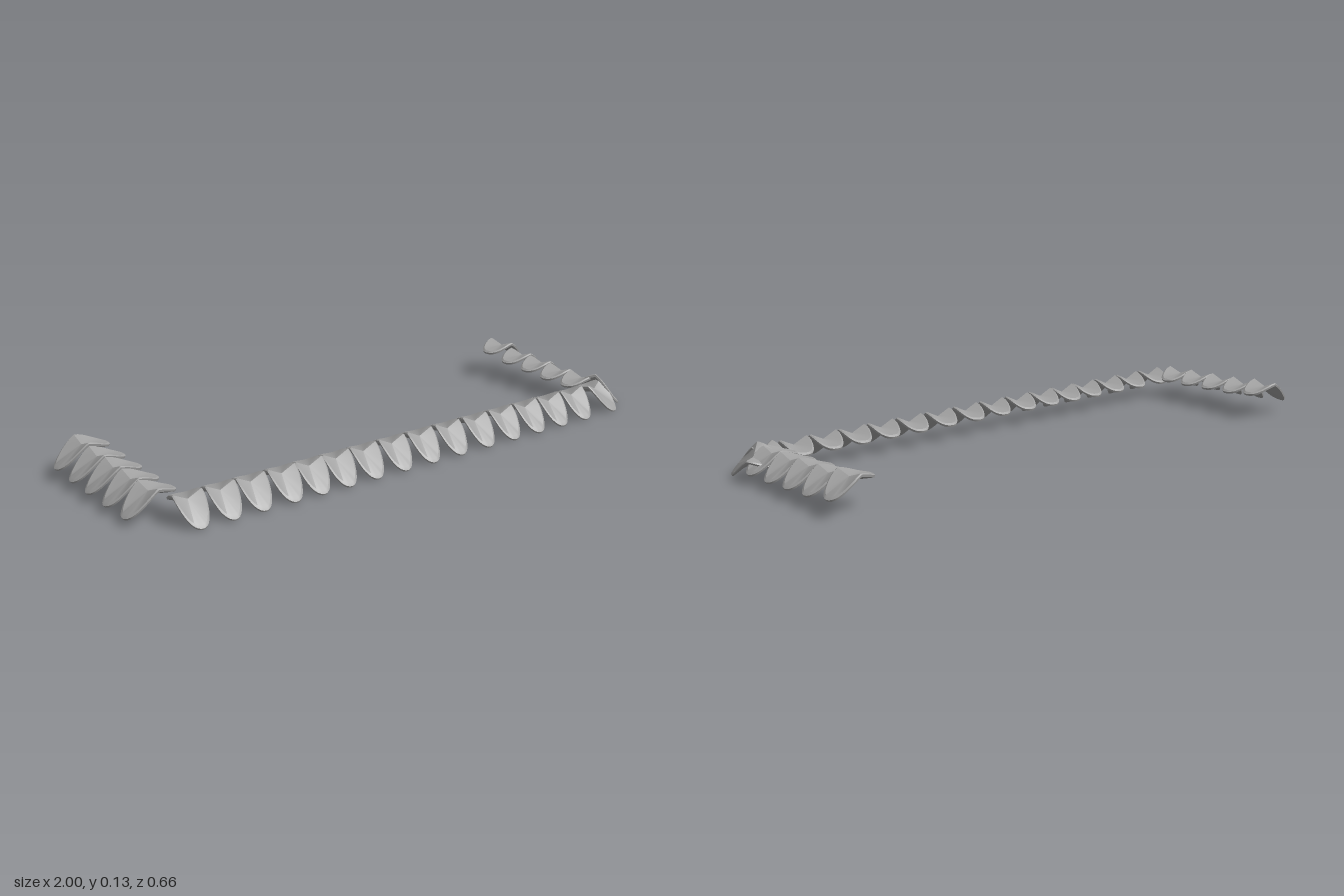
import * as THREE from 'three';
import { toCreasedNormals } from 'three/addons/utils/BufferGeometryUtils.js';

const material = new THREE.MeshStandardMaterial({ color: 0xa0a0a0 });

// One folded oval scale: a long slope drops to the front (+z), a shallow one to the back,
// and the sides of the ridge curl up. Its centre is the origin.
function scaleGeometry(halfLength, sideRise, frontDrop, backDrop) {
  const n = 40, halfWidth = 0.053;
  // rings as [radius, depth below the top surface]
  const rings = [[0, 0], [0.92, 0], [1, 0.005], [0.97, 0.012], [0, 0.012]];
  const positions = [], index = [];
  for (const [r, depth] of rings) {
    for (let k = 0; k < n; k++) {
      const a = (k / n) * Math.PI * 2, c = Math.cos(a), s = Math.sin(a);
      const fold = sideRise * c ** 4 - (s > 0 ? frontDrop : backDrop) * Math.abs(s);
      positions.push(c * r * halfWidth, r * fold - depth, s * r * halfLength);
    }
  }
  for (let j = 0; j < rings.length - 1; j++) {
    for (let k = 0; k < n; k++) {
      const k1 = (k + 1) % n;
      const a = j * n + k, b = j * n + k1, c = a + n, d = b + n;
      if (rings[j + 1][0] > 0) index.push(a, d, c);
      if (rings[j][0] > 0) index.push(a, b, d);
    }
  }
  const geometry = new THREE.BufferGeometry();
  geometry.setAttribute('position', new THREE.Float32BufferAttribute(positions, 3));
  geometry.setIndex(index);
  return toCreasedNormals(geometry, 0.45);
}

export function createModel() {
  const model = new THREE.Group();
  const frontScale = scaleGeometry(0.086, 0.025, 0.062, 0.01);
  const rightScale = scaleGeometry(0.098, 0.021, 0.057, 0.009);
  const leftScale = scaleGeometry(0.091, 0.019, 0.046, 0.006);

  // yaw turns the front tip from +z towards +x, roll tips the scale sideways
  function addScale(parent, name, geometry, x, y, z, yaw = 0, roll = 0) {
    const mesh = new THREE.Mesh(geometry, material);
    mesh.name = name;
    mesh.position.set(x, y, z);
    mesh.rotation.set(0, yaw, roll);
    parent.add(mesh);
  }
  function addRow(name) {
    const row = new THREE.Group();
    row.name = name;
    model.add(row);
    return row;
  }

  // front row
  const front = addRow('frontRow');
  const xs = [-0.825, -0.71, -0.6, -0.485, -0.38, -0.275, -0.165, -0.048,
    0.07, 0.19, 0.312, 0.43, 0.545, 0.657, 0.77];
  xs.forEach((x) => addScale(front, 'frontScale', frontScale, x, 0.076, 0.242));

  // turned scales at the left front corner
  addScale(front, 'cornerScale', frontScale, 0.885, 0.077, 0.243, 0.35);
  addScale(front, 'cornerScale', frontScale, 0.946, 0.077, 0.194, 0.65, -0.4);

  // side rows, rising towards the back: [z, y, yaw]
  const right = addRow('rightRow');
  [[0.142, 0.089, 0.14], [0.035, 0.092, 0.05], [-0.073, 0.096, 0], [-0.178, 0.101, 0], [-0.28, 0.111, 0]]
    .forEach(([z, y, yaw]) => addScale(right, 'rightScale', rightScale, -0.902, y, z, -Math.PI / 2 + yaw));

  const left = addRow('leftRow');
  [[0.152, 0.09, 0.06], [0.045, 0.09, 0.06], [-0.06, 0.094, 0.08], [-0.167, 0.098, 0.08], [-0.278, 0.112, 0.17]]
    .forEach(([z, y, yaw]) => addScale(left, 'leftScale', leftScale, 0.905, y, z, Math.PI / 2 + yaw));

  return model;
}
